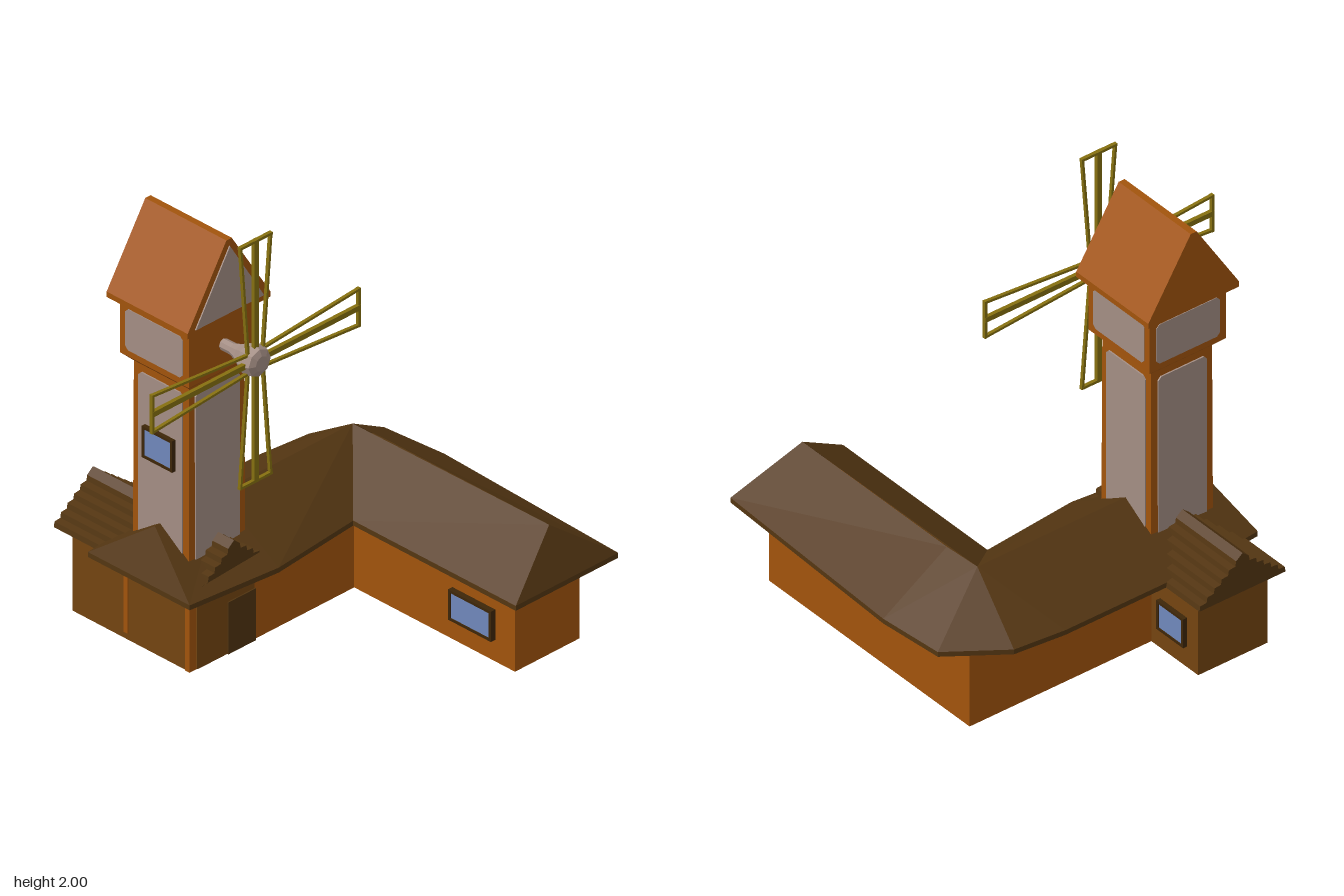
import * as THREE from 'three';

const mat = (name, color, double) => {
  const m = new THREE.MeshStandardMaterial({ color, flatShading: true });
  m.name = name;
  if (double) m.side = THREE.DoubleSide;
  return m;
};

export function createModel() {
  const M = {
    orange: mat('orange timber', 0xa2540c),
    brown: mat('brown wall', 0x744410),
    roof: mat('dark roof', 0x543612, true),
    plaster: mat('taupe plaster', 0xa48e84),
    glass: mat('blue glass', 0x7088bc),
    frame: mat('window frame', 0x3e2608),
    door: mat('door wood', 0x50330f),
    sail: mat('olive sail wood', 0x867010),
  };
  const model = new THREE.Group();
  model.name = 'windmillFarmhouse';

  const add = (name, geo, m, parent = model) => {
    const mesh = new THREE.Mesh(geo, m);
    mesh.name = name;
    parent.add(mesh);
    return mesh;
  };
  // Box given by its minimum and maximum on each axis
  const box = (name, m, [x0, x1], [y0, y1], [z0, z1], parent) => {
    const b = add(name, new THREE.BoxGeometry(x1 - x0, y1 - y0, z1 - z0), m, parent);
    b.position.set((x0 + x1) / 2, (y0 + y1) / 2, (z0 + z1) / 2);
    return b;
  };
  // Thin rounded plate, centred, turned by ry to face outward
  const plate = (name, m, w, h, r, pos, ry = 0, depth = 0.008) => {
    const s = new THREE.Shape(), a = w / 2, b = h / 2;
    s.moveTo(-a + r, -b).lineTo(a - r, -b).lineTo(a, -b + r).lineTo(a, b - r);
    s.lineTo(a - r, b).lineTo(-a + r, b).lineTo(-a, b - r).lineTo(-a, -b + r).closePath();
    const p = add(name, new THREE.ExtrudeGeometry(s, { depth, bevelEnabled: false }), m);
    p.position.set(...pos);
    p.rotation.y = ry;
  };
  // Profile of [z, y] points extruded along x
  const prism = (name, m, pts, xMax, length) => {
    const s = new THREE.Shape(pts.map(([z, y]) => new THREE.Vector2(z, y)));
    const g = new THREE.ExtrudeGeometry(s, { depth: length, bevelEnabled: false });
    g.rotateY(-Math.PI / 2);
    g.translate(xMax, 0, 0);
    return add(name, g, m);
  };
  const windowAt = (name, w, h, [x, y, z], ry, proud) => {
    const dir = Math.cos(ry);
    // four frame bars around the pane
    for (const s of [-1, 1]) {
      const t = 0.012, zr = [Math.min(z, z + dir * proud), Math.max(z, z + dir * proud)];
      const cx = x + s * (w - t) / 2, cy = y + s * (h - t) / 2;
      box(name + 'Frame', M.frame, [cx - t / 2, cx + t / 2], [y - h / 2, y + h / 2], zr);
      box(name + 'Frame', M.frame, [x - w / 2, x + w / 2], [cy - t / 2, cy + t / 2], zr);
    }
    plate(name + 'Pane', M.glass, w - 0.02, h - 0.02, 0.004, [x, y, z + dir * (proud - 0.012)], ry);
  };

  // Walls of the L-shaped house and the side annex
  box('backWing', M.orange, [-0.505, 0.76], [0, 0.38], [-0.76, -0.4]);
  box('frontWing', M.orange, [-0.505, -0.14], [0, 0.38], [-0.4, 0.505]);
  box('annex', M.brown, [-0.8, -0.145], [0, 0.38], [0.16, 0.512]);
  plate('sidePanel', M.brown, 0.32, 0.37, 0.005, [-0.14, 0.185, 0.32], Math.PI / 2, 0.004);
  box('cornerPost', M.orange, [-0.51, -0.487], [0.03, 0.33], [0.5, 0.517]);
  box('cornerPost', M.orange, [-0.165, -0.14], [0, 0.34], [0.5, 0.517]);
  box('door', M.door, [-0.16, -0.13], [0, 0.24], [0.155, 0.31]);
  windowAt('wingWindow', 0.24, 0.14, [0.53, 0.17, -0.4], 0, 0.025);
  windowAt('annexWindow', 0.17, 0.14, [-0.645, 0.17, 0.16], Math.PI, 0.02);

  // Hipped roof: each eave point [x, z] climbs to its ridge point
  const R = [[0.76, -0.59], [-0.33, -0.58], [-0.33, 0.16], [-0.33, 0.52], [-0.15, -0.59]];
  const eave = [
    [0.865, -0.87, 0], [-0.15, -0.912, 4], [-0.46, -0.885, 1], [-0.635, -0.64, 1], [-0.66, -0.4, 1],
    [-0.66, 0.16, 2], [-0.615, 0.61, 3], [-0.045, 0.61, 3], [0, 0.16, 2], [-0.045, -0.3, 1], [0.865, -0.3, 0],
  ];
  const v = [];
  const quad = (a, b, c, d) => v.push(...a, ...b, ...c, ...a, ...c, ...d);
  eave.forEach(([x, z, k], i) => {
    const [x2, z2, k2] = eave[(i + 1) % eave.length];
    quad([x, 0.393, z], [x2, 0.393, z2], [R[k2][0], 0.598, R[k2][1]], [R[k][0], 0.598, R[k][1]]);
    quad([x, 0.37, z], [x2, 0.37, z2], [x2, 0.393, z2], [x, 0.393, z]);
  });
  const roofGeo = new THREE.BufferGeometry();
  roofGeo.setAttribute('position', new THREE.Float32BufferAttribute(v, 3));
  roofGeo.computeVertexNormals();
  add('houseRoof', roofGeo, M.roof);
  const soffit = new THREE.ShapeGeometry(new THREE.Shape(eave.map(([x, z]) => new THREE.Vector2(x, z))));
  soffit.rotateX(Math.PI / 2);
  add('roofSoffit', soffit, M.roof).position.y = 0.37;

  // Annex roof with stepped shingle courses
  const steps = 6, half = [];
  for (let i = 0; i < steps; i++) {
    const d = 0.218 * (1 - i / steps), y = 0.37 + 0.165 * i / steps;
    half.push([d, y], [d - 0.004, y + 0.024]);
  }
  prism('annexRoof', M.roof, [
    ...half.map(([d, y]) => [0.328 + d, y]), [0.328, 0.558],
    ...half.reverse().map(([d, y]) => [0.328 - d, y]),
  ], -0.08, 0.79);

  // Tower shaft, flare and upper room
  const cx = -0.33, cz = 0.33;
  const block = (name, bottom, top, y0, y1) => {
    const g = new THREE.CylinderGeometry(top * Math.SQRT2, bottom * Math.SQRT2, y1 - y0, 4);
    g.rotateY(Math.PI / 4);
    add(name, g, M.orange).position.set(cx, (y0 + y1) / 2, cz);
  };
  block('towerShaft', 0.157, 0.154, 0.3, 1.3);
  block('towerFlare', 0.157, 0.193, 1.285, 1.32);
  block('upperRoom', 0.193, 0.193, 1.32, 1.59);
  for (let i = 0; i < 4; i++) {
    const a = i * Math.PI / 2, s = Math.sin(a), c = Math.cos(a);
    plate('towerPanel', M.plaster, 0.245, 0.8, 0.015, [cx + s * 0.153, 0.85, cz + c * 0.153], a);
    // the wall behind the sails stays plain
    if (i !== 1) plate('roomPanel', M.plaster, 0.32, 0.19, 0.015, [cx + s * 0.188, 1.445, cz + c * 0.188], a);
  }
  windowAt('towerWindow', 0.17, 0.145, [cx, 0.948, cz + 0.155], 0, 0.024);

  // Tower gable roof with plaster gable
  prism('towerRoof', M.orange, [
    [0.56, 1.575], [0.56, 1.6], [0.345, 1.94], [0.315, 1.94], [0.1, 1.6], [0.1, 1.575],
  ], -0.106, 0.454);
  prism('gablePanel', M.plaster, [[0.52, 1.602], [0.33, 1.91], [0.14, 1.602]], -0.1, 0.008);

  // Hub and shaft
  const hub = add('hub', new THREE.LatheGeometry([
    [0, -0.2], [0.025, -0.2], [0.026, -0.08], [0.04, -0.04], [0.064, 0], [0.071, 0.03], [0.062, 0.065], [0.035, 0.078], [0, 0.078],
  ].map(([r, y]) => new THREE.Vector2(r, y)), 8), M.plaster);
  hub.rotation.z = -Math.PI / 2;
  hub.position.set(0, 1.442, cz);

  // Four sails: spar, two splayed rails and an end bar
  const sails = new THREE.Group();
  sails.name = 'sails';
  sails.position.set(0.04, 1.442, 0.33);
  model.add(sails);
  for (let i = 0; i < 4; i++) {
    const sail = new THREE.Group(), L = i % 2 ? 0.58 : 0.56;
    sail.name = 'sail';
    sail.rotation.x = i * Math.PI / 2;
    sails.add(sail);
    box('spar', M.sail, [-0.009, 0.009], [0.03, L], [-0.012, 0.012], sail);
    box('endBar', M.sail, [-0.008, 0.008], [L - 0.012, L], [-0.09, 0.09], sail);
    for (const s of [-1, 1]) {
      const dz = 0.042, dy = L - 0.045;
      const rail = add('rail', new THREE.BoxGeometry(0.015, Math.hypot(dz, dy), 0.011), M.sail, sail);
      rail.position.set(0, 0.04 + dy / 2, s * 0.063);
      rail.rotation.x = s * Math.atan2(dz, dy);
    }
  }
  return model;
}
